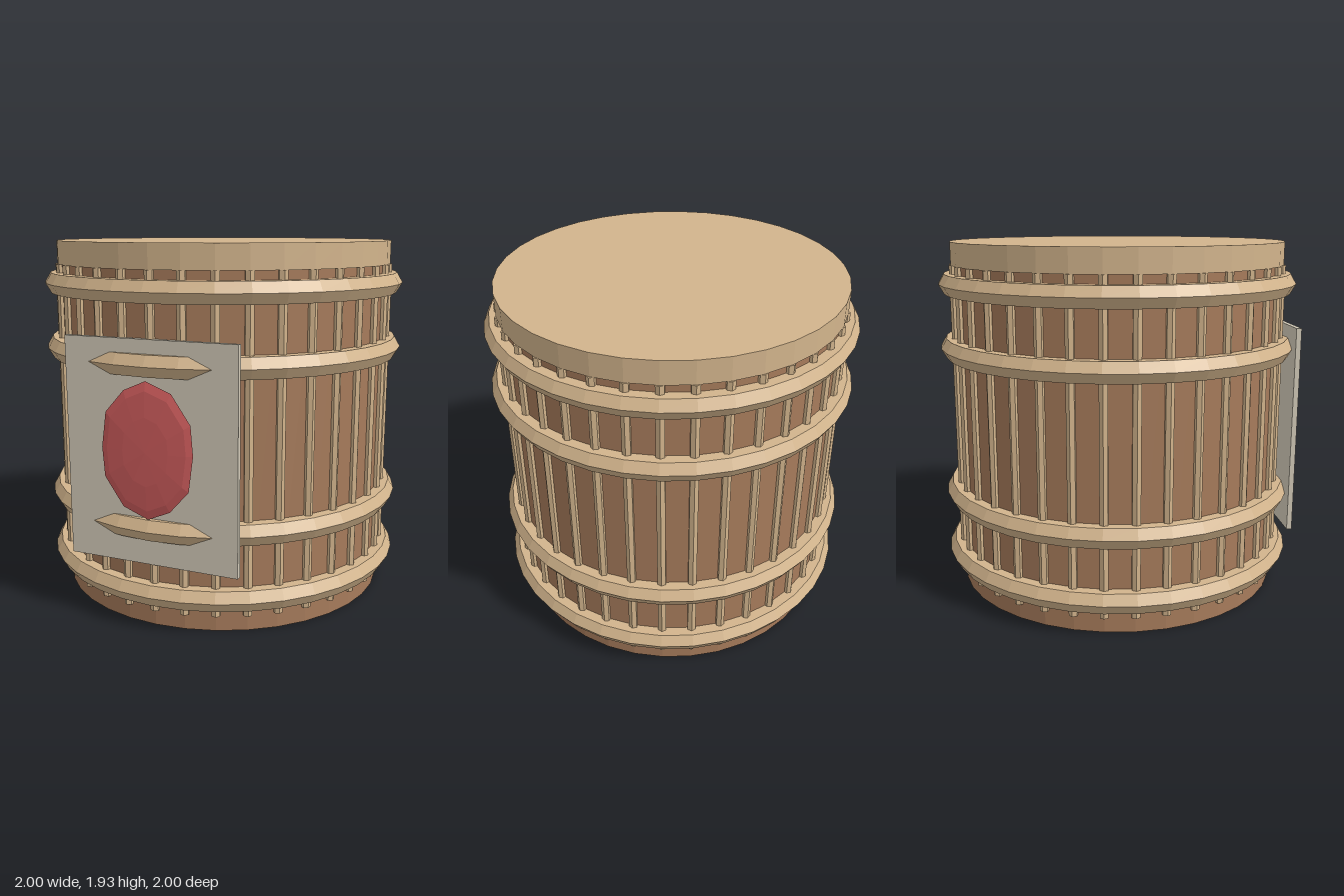
import * as THREE from 'three';

const flat = (name, color) => {
  const m = new THREE.MeshStandardMaterial({ color, flatShading: true });
  m.name = name;
  return m;
};

// Faceted lens: six outline points, mirrored through the centre, domed front and back
function lensGeometry(depth) {
  const half = [[0.247, 0], [0.235, 0.15], [0.135, 0.295], [0, 0.3475], [-0.12, 0.295], [-0.222, 0.18]];
  const outline = [...half, ...half.map(([x, y]) => [-x, -y])];
  const n = outline.length, rings = 6;
  const pos = [], index = [];
  for (let j = 0; j <= rings; j++) {
    const a = (j / rings) * Math.PI;
    for (const [x, y] of outline) pos.push(x * Math.sin(a), y * Math.sin(a), depth * Math.cos(a));
  }
  for (let j = 0; j < rings; j++) {
    for (let i = 0; i < n; i++) {
      const a = j * n + i, b = j * n + (i + 1) % n;
      if (j < rings - 1) index.push(a, a + n, b + n);
      if (j > 0) index.push(a, b + n, b);
    }
  }
  const g = new THREE.BufferGeometry();
  g.setAttribute('position', new THREE.Float32BufferAttribute(pos, 3));
  g.setIndex(index);
  g.computeVertexNormals();
  return g;
}

export function createModel() {
  const model = new THREE.Group();
  model.name = 'barrel';
  const brown = flat('staveBrown', 0xa67b5b);
  const tan = flat('ropeTan', 0xd2b48c);
  const paper = flat('labelPaper', 0xd3cbb9);
  const red = flat('sealRed', 0xcd5c5c);

  const add = (name, geometry, material, x, y, z, parent = model) => {
    const mesh = new THREE.Mesh(geometry, material);
    mesh.name = name;
    mesh.position.set(x, y, z);
    parent.add(mesh);
    return mesh;
  };

  // Drum and lid
  const sides = 36;
  add('body', new THREE.CylinderGeometry(0.913, 0.913, 1.81, sides), brown, 0, 0.905, 0);
  add('lid', new THREE.CylinderGeometry(0.93, 0.93, 0.125, sides), tan, 0, 1.8675, 0);

  // Thin six-sided rods around the drum
  const rods = new THREE.Group();
  rods.name = 'rods';
  model.add(rods);
  const rodGeometry = new THREE.CylinderGeometry(0.025, 0.025, 1.72, 6);
  for (let i = 0; i < sides; i++) {
    const a = (i / sides) * Math.PI * 2;
    const rod = add('rod', rodGeometry, tan, 0.915 * Math.sin(a), 0.945, 0.915 * Math.cos(a), rods);
    rod.rotation.y = a;
  }

  // Four hoops
  const hoopGeometry = new THREE.TorusGeometry(0.9375, 0.0625, 6, sides).rotateX(Math.PI / 2);
  for (const y of [0.183, 0.53, 1.355, 1.705]) add('hoop', hoopGeometry, tan, 0, y, 0);

  // Front label with its red seal
  add('label', new THREE.BoxGeometry(0.925, 1.14, 0.028), paper, 0, 0.91, 0.929);
  add('seal', lensGeometry(0.023), red, 0, 0.938, 0.977);
  return model;
}
